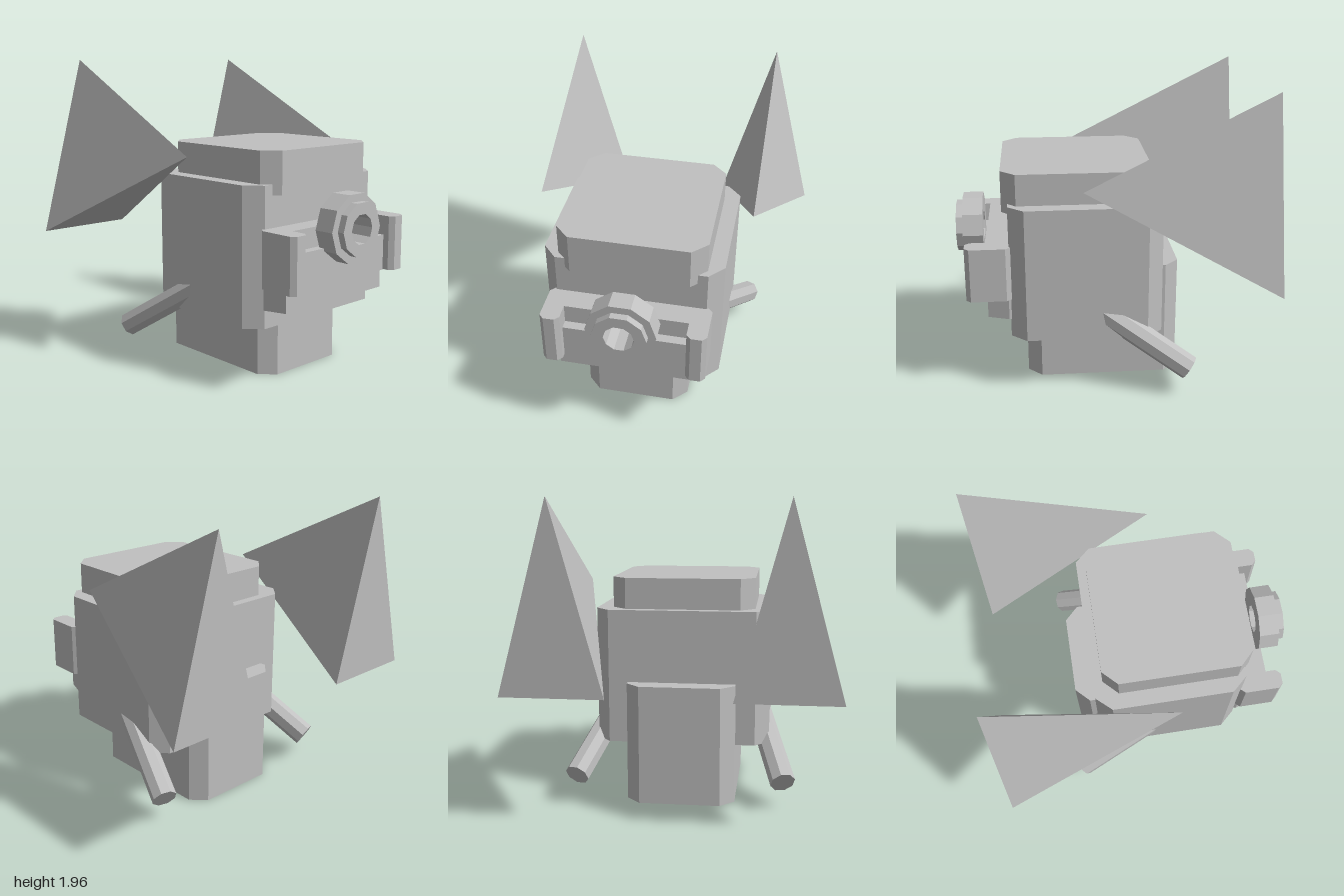
import * as THREE from 'three';
import { ConvexGeometry } from 'three/addons/geometries/ConvexGeometry.js';

export function createModel() {
  const model = new THREE.Group();
  const grey = new THREE.MeshStandardMaterial({ color: 0xc0c0c0, flatShading: true });
  grey.name = 'plain grey';

  function add(name, geometry) {
    const mesh = new THREE.Mesh(geometry, grey);
    mesh.name = name;
    model.add(mesh);
    return mesh;
  }

  // Upright block whose four vertical edges are cut off by cx and cz
  function block(name, [x0, x1], [y0, y1], [z0, z1], cx, cz) {
    const outline = [
      [x0 + cx, -z1], [x1 - cx, -z1], [x1, -z1 + cz], [x1, -z0 - cz],
      [x1 - cx, -z0], [x0 + cx, -z0], [x0, -z0 - cz], [x0, -z1 + cz],
    ].map(([x, y]) => new THREE.Vector2(x, y));
    const geometry = new THREE.ExtrudeGeometry(new THREE.Shape(outline), { depth: y1 - y0, bevelEnabled: false });
    geometry.rotateX(-Math.PI / 2).translate(0, y0, 0);
    return add(name, geometry);
  }

  // Main blocks
  block('base', [-0.35, 0.35], [0, 0.77], [-0.47, 0.53], 0.09, 0.09);
  block('body', [-0.565, 0.565], [0.37, 1.24], [-0.34, 0.63], 0.09, 0.1);
  block('cap', [-0.465, 0.465], [1.175, 1.44], [-0.28, 0.67], 0.093, 0.093);

  // Front panel with its raised bar
  block('frontPanel', [-0.485, 0.485], [0.49, 0.98], [0.505, 0.775], 0.045, 0.135);
  add('frontBar', new THREE.BoxGeometry(0.8, 0.23, 0.235).translate(0, 0.74, 0.7175));

  // Stepped ten-sided ring, open through the middle
  const ringProfile = [
    [0.095, 0.8], [0.22, 0.8], [0.22, 0.93], [0.17, 0.93],
    [0.17, 0.975], [0.095, 0.975], [0.095, 0.8],
  ].map(([r, y]) => new THREE.Vector2(r, y));
  const ring = new THREE.LatheGeometry(ringProfile, 10, Math.PI / 2);
  add('frontRing', ring.rotateX(Math.PI / 2).translate(0, 0.965, 0));

  for (const [side, s] of [['left', 1], ['right', -1]]) {
    // Upright grip at each end of the bar
    const grip = s > 0 ? [0.39, 0.515] : [-0.515, -0.39];
    block(side + 'Grip', grip, [0.63, 0.98], [0.62, 0.905], 0.028, 0.03);

    // Spike: triangular base at the back, point toward the front
    add(side + 'Spike', new ConvexGeometry([
      new THREE.Vector3(s * 0.685, 1.96, -0.975),
      new THREE.Vector3(s * 0.37, 0.805, -0.975),
      new THREE.Vector3(s * 1, 0.805, -0.975),
      new THREE.Vector3(s * 0.685, 1.385, 0.175),
    ]));

    // Octagonal rod slanting out, down and back from the body
    const end = new THREE.Vector3(s * 0.66, 0.183, -0.497);
    const axis = new THREE.Vector3(s * -0.26, 0.52, 0.81).normalize();
    const length = 0.85;
    const rod = add(side + 'Rod', new THREE.CylinderGeometry(0.08, 0.08, length, 8));
    rod.quaternion.setFromUnitVectors(new THREE.Vector3(0, 1, 0), axis);
    rod.position.copy(end).addScaledVector(axis, length / 2);
  }

  return model;
}
